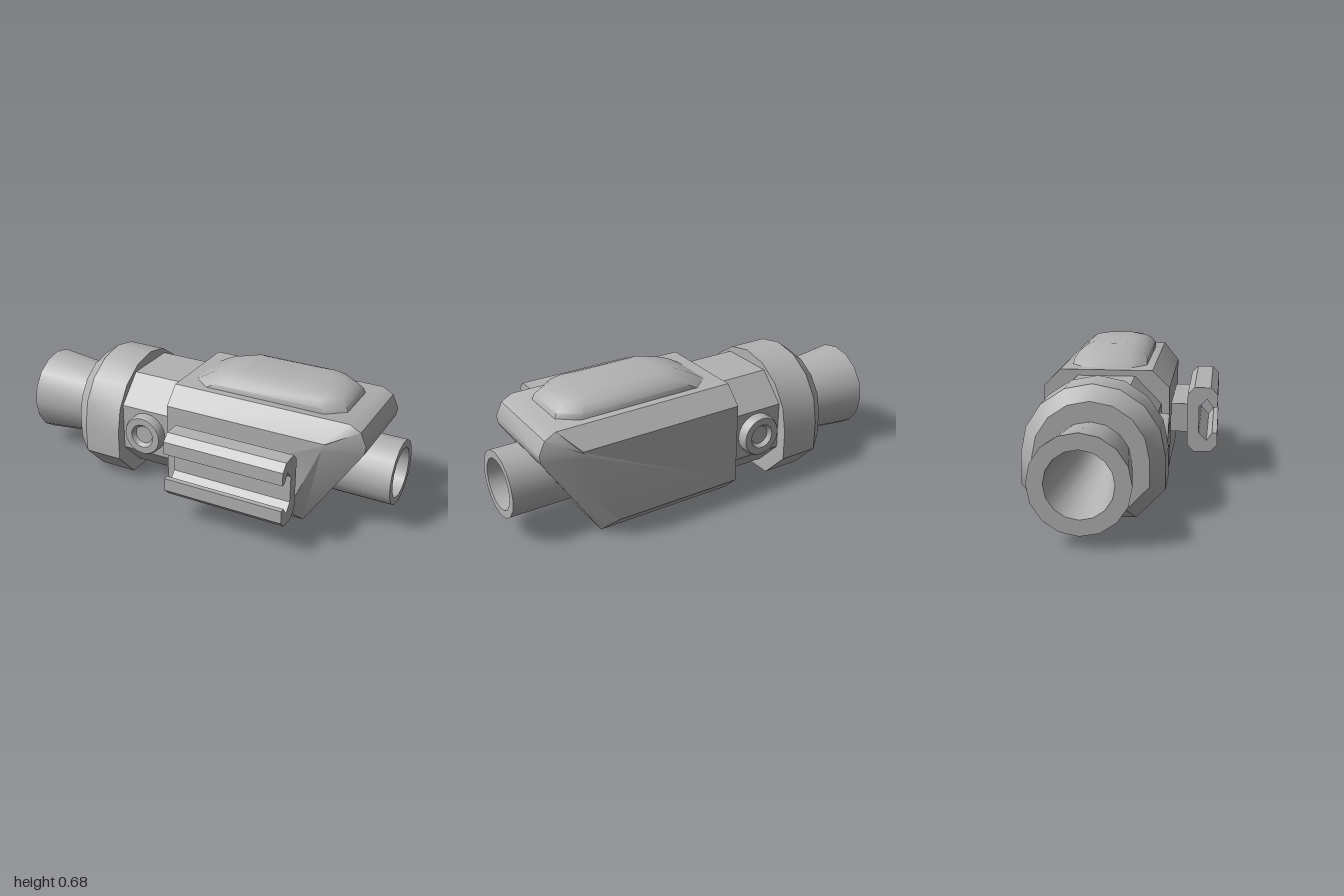
import * as THREE from 'three';
import { toCreasedNormals, mergeGeometries } from 'three/addons/utils/BufferGeometryUtils.js';

const grey = new THREE.MeshStandardMaterial({ color: 0xb2b2b2, side: THREE.DoubleSide });
grey.name = 'grey';

const AXIS_Y = 0.276, AXIS_Z = -0.11, MID_Y = 0.305;

// Joins equal-length closed loops of [x, y, z]; skip(span, edge) leaves a side open.
function loft(loops, { capped = false, skip = () => false } = {}) {
  const n = loops[0].length, index = [];
  for (let i = 0; i < loops.length - 1; i++) {
    for (let j = 0; j < n; j++) {
      if (skip(i, j)) continue;
      const k = (j + 1) % n;
      const a = i * n + j, b = i * n + k, c = b + n, d = a + n;
      index.push(a, b, c, a, c, d);
    }
  }
  if (capped) {
    const last = (loops.length - 1) * n;
    for (let j = 1; j < n - 1; j++) index.push(0, j + 1, j, last, last + j, last + j + 1);
  }
  const g = new THREE.BufferGeometry();
  g.setAttribute('position', new THREE.Float32BufferAttribute(loops.flat(2), 3));
  g.setIndex(index);
  return g;
}

// Flat wall across the axis with a round bore; xAt(y) lets it lean.
function boredWall(points, xAt, holeRadius = 0.14) {
  const shape = new THREE.Shape(points.map(([a, b]) => new THREE.Vector2(a, b)));
  const hole = new THREE.Path();
  hole.absarc(0, AXIS_Y, holeRadius, 0, Math.PI * 2, true);
  shape.holes.push(hole);
  const g = new THREE.ShapeGeometry(shape, 8);
  const p = g.attributes.position;
  for (let i = 0; i < p.count; i++) p.setXYZ(i, xAt(p.getY(i)), p.getY(i), AXIS_Z - p.getX(i));
  return g;
}

// Places a 2D section (offset from axis, height) at x, shrunk about the middle.
const sectionAt = (points, x, s = 1) =>
  points.map(([a, b]) => [x, MID_Y + (b - MID_Y) * s, AXIS_Z - a * s]);

const octagon = (w, h, cw, ch, cy) => [
  [-w + cw, cy - h], [w - cw, cy - h], [w, cy - h + ch], [w, cy + h - ch],
  [w - cw, cy + h], [-w + cw, cy + h], [-w, cy + h - ch], [-w, cy - h + ch],
];

function finish(geometries, crease = 0.6) {
  const clean = geometries.map((g) => {
    const c = g.index ? g.toNonIndexed() : g.clone();
    c.deleteAttribute('uv');
    c.deleteAttribute('normal');
    return c;
  });
  return toCreasedNormals(mergeGeometries(clean), crease);
}

const lathe = (profile, sides) =>
  new THREE.LatheGeometry(profile.map(([r, h]) => new THREE.Vector2(r, h)), sides);

export function createModel() {
  const model = new THREE.Group();
  model.name = 'opticalSight';
  const add = (name, geometries, crease) => {
    const mesh = new THREE.Mesh(finish(geometries, crease), grey);
    mesh.name = name;
    model.add(mesh);
    return mesh;
  };

  // Hollow barrel: flared at one end, straight at the other
  const barrel = lathe([
    [0.185, -0.6], [0.187, -0.67], [0.222, -1], [0.15, -1], [0.104, -0.5],
    [0.104, 0.5], [0.125, 1], [0.163, 1], [0.163, 0.5],
  ], 16);
  barrel.rotateZ(-Math.PI / 2).translate(0, AXIS_Y, AXIS_Z);
  add('barrel', [barrel]);

  // Collar: round on top, chamfered below
  const collar = [[-0.198, 0], [0.198, 0], [0.33, 0.138]];
  for (let i = 0; i <= 8; i++) {
    const t = (i / 8) * Math.PI;
    collar.push([0.33 * Math.cos(t), 0.287 + 0.33 * Math.sin(t)]);
  }
  collar.push([-0.33, 0.138]);
  const small = collar.map(([a, b]) => [a * 0.8, MID_Y + (b - MID_Y) * 0.8]);
  add('collar', [
    loft([sectionAt(collar, -0.67, 0.8), sectionAt(collar, -0.59), sectionAt(collar, -0.39)]),
    boredWall(small, () => -0.67),
    boredWall(collar, () => -0.39),
  ]);

  // Octagonal neck between collar and housing
  const neck = octagon(0.275, 0.255, 0.132, 0.135, MID_Y);
  add('neck', [loft([sectionAt(neck, -0.39), sectionAt(neck, -0.105)])]);

  // Adjustment knobs on both sides
  for (const side of [1, -1]) {
    const knob = lathe([
      [0.105, 0.24], [0.105, 0.312], [0.098, 0.325], [0.062, 0.325], [0.047, 0.305], [0, 0.305],
    ], 20);
    knob.rotateX(side * Math.PI / 2).translate(-0.25, MID_Y, AXIS_Z);
    add(side > 0 ? 'frontKnob' : 'backKnob', [knob]);
  }

  // Chamfered housing with a slanted end
  const outer = [
    [-0.105, 0.018], [0.605, 0.018], [0.885, 0.455], [0.89, 0.495],
    [0.86, 0.56], [0.805, 0.59], [-0.105, 0.59],
  ];
  const inner = [
    [-0.105, 0.1], [0.553, 0.1], [0.709, 0.475], [0.713, 0.485],
    [0.717, 0.495], [0.72, 0.505], [-0.105, 0.505],
  ];
  const atZ = (profile, z) => profile.map(([x, y]) => [x, y, z]);
  const housing = loft(
    [atZ(inner, -0.425), atZ(outer, -0.34), atZ(outer, 0.12), atZ(inner, 0.205)],
    { capped: true, skip: (span, edge) => edge === 6 || (span === 1 && edge === 1) },
  );
  const slant = [[-0.23, 0.018], [0.23, 0.018], [0.23, 0.455], [-0.23, 0.455]];
  const rear = [
    [-0.23, 0.018], [0.23, 0.018], [0.315, 0.1], [0.315, 0.505],
    [0.23, 0.59], [-0.23, 0.59], [-0.315, 0.505], [-0.315, 0.1],
  ];
  add('housing', [
    housing,
    boredWall(slant, (y) => 0.605 + (0.28 * (y - 0.018)) / 0.437),
    boredWall(rear, () => -0.105),
  ]);

  // Rounded top cover: [height, x start, x end, half depth, corner cut]
  const levels = [
    [0.58, -0.06, 0.757, 0.19, 0.09], [0.615, 0.0, 0.745, 0.188, 0.09],
    [0.645, 0.055, 0.715, 0.168, 0.085], [0.668, 0.11, 0.665, 0.138, 0.075],
    [0.68, 0.17, 0.6, 0.105, 0.06],
  ];
  const cover = levels.map(([y, x0, x1, d, c]) =>
    octagon((x1 - x0) / 2, d, c, c * 0.8, 0).map(([a, b]) => [(x0 + x1) / 2 + a, y, AXIS_Z - b]));
  add('topCover', [loft(cover, { capped: true })], 0.7);

  // Mount stem and C-shaped rail clamp
  const stem = new THREE.BoxGeometry(0.51, 0.146, 0.11);
  stem.translate(0.31, 0.318, 0.245);
  add('mountStem', [stem]);

  const half = [
    [0.29, 0.132], [0.324, 0.167], [0.407, 0.167], [0.442, 0.132], [0.442, 0.067],
    [0.416, 0.067], [0.388, 0.109], [0.348, 0.067],
  ];
  const outline = [...half, ...half.map(([z, y]) => [z, -y]).reverse()];
  const clamp = new THREE.ExtrudeGeometry(
    new THREE.Shape(outline.map(([z, y]) => new THREE.Vector2(-z, y))),
    { depth: 0.61, bevelEnabled: false },
  );
  clamp.rotateY(Math.PI / 2).translate(0.015, 0.318, 0);
  add('railClamp', [clamp]);

  return model;
}
